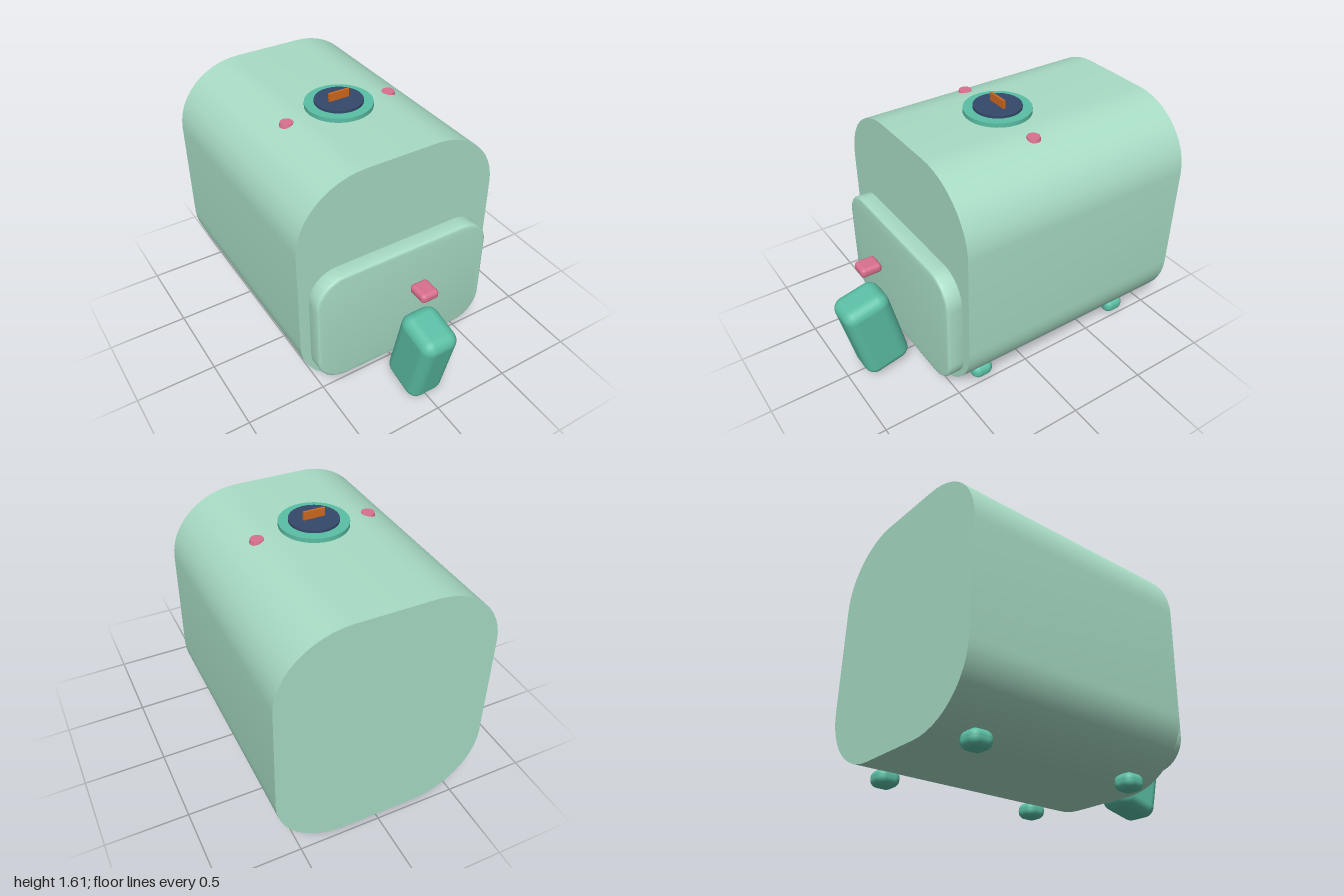
import * as THREE from 'three';
import { toCreasedNormals } from 'three/addons/utils/BufferGeometryUtils.js';
import { RoundedBoxGeometry } from 'three/addons/geometries/RoundedBoxGeometry.js';

const material = (name, color) => {
  const m = new THREE.MeshStandardMaterial({ color });
  m.name = name;
  return m;
};

// Rectangle centred on the origin with elliptical corners
function roundedRect(halfW, halfH, rx, ry) {
  const s = new THREE.Shape();
  const x = halfW - rx, y = halfH - ry, q = Math.PI / 2;
  s.absellipse(x, y, rx, ry, 0, q);
  s.absellipse(-x, y, rx, ry, q, 2 * q);
  s.absellipse(-x, -y, rx, ry, 2 * q, 3 * q);
  s.absellipse(x, -y, rx, ry, 3 * q, 4 * q);
  s.closePath();
  return s;
}

export function createModel() {
  const model = new THREE.Group();
  model.name = 'airFryer';
  const mint = material('mint', 0xa8dcc5);
  const teal = material('teal', 0x5bbfa5);
  const pink = material('pink', 0xd9708f);
  const navy = material('navy', 0x34486b);
  const orange = material('orange', 0xd2691e);

  const add = (name, geometry, mat, x, y, z) => {
    const mesh = new THREE.Mesh(geometry, mat);
    mesh.name = name;
    mesh.position.set(x, y, z);
    model.add(mesh);
    return mesh;
  };

  // Housing: one rounded section run from back to front
  const housing = new THREE.ExtrudeGeometry(roundedRect(0.645, 0.735, 0.425, 0.4),
    { depth: 1.515, bevelEnabled: false, curveSegments: 6 });
  add('housing', toCreasedNormals(housing, 0.6), mint, 0, 0.785, -1);

  // Drawer front with a softened rim
  const drawer = new THREE.ExtrudeGeometry(roundedRect(0.565, 0.368, 0.165, 0.165), {
    depth: 0.09, bevelSize: 0.015, bevelThickness: 0.015, bevelSegments: 3, curveSegments: 6,
  });
  add('drawerFront', toCreasedNormals(drawer, 0.7), mint, 0, 0.5625, 0.505);

  // Leaning handle and its release button
  const handle = add('handle', new RoundedBoxGeometry(0.24, 0.565, 0.3, 5, 0.07), teal, 0, 0.306, 0.805);
  handle.rotation.x = 0.227;
  add('releaseButton', new RoundedBoxGeometry(0.115, 0.06, 0.13, 4, 0.024), pink, 0, 0.78, 0.785);

  // Feet
  for (const x of [-0.42, 0.42]) {
    for (const z of [0.3, -0.77]) {
      add('foot', new RoundedBoxGeometry(0.14, 0.1, 0.14, 4, 0.045), teal, x, 0.05, z);
    }
  }

  // Dial: ring, face and pointer grip
  add('dialRing', new THREE.CylinderGeometry(0.2, 0.2, 0.035, 40), teal, 0, 1.5285, -0.11);
  add('dialFace', new THREE.CylinderGeometry(0.143, 0.143, 0.03, 40), navy, 0, 1.546, -0.11);
  add('dialGrip', new THREE.BoxGeometry(0.13, 0.06, 0.014), orange, 0, 1.58, -0.11);

  // Indicator lights beside the dial
  for (const x of [-0.34, 0.34]) {
    add('indicatorLight', new THREE.CylinderGeometry(0.038, 0.043, 0.022, 20), pink, x, 1.504, -0.11);
  }
  return model;
}
